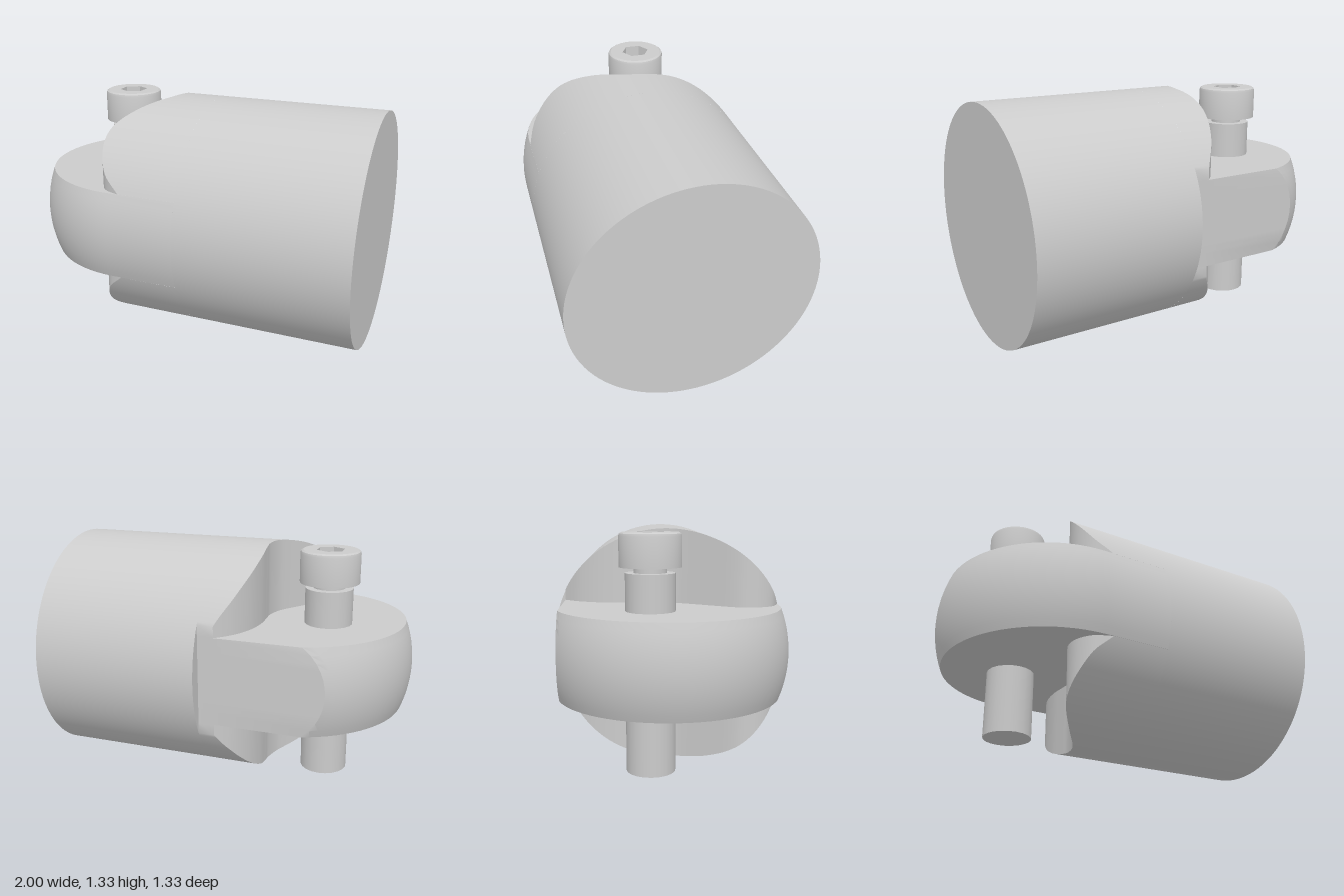
import * as THREE from 'three';
import { toCreasedNormals } from 'three/addons/utils/BufferGeometryUtils.js';

const R = 0.665;            // barrel radius, also the height of its axis
const HALF = 0.245;         // half thickness of the tongue
const FLAT = -0.59;         // z of the flat cut on the back
const STEP = 0.05;          // x where the full barrel begins
const NOSE = -0.335;        // x centre of the rounded nose
const grey = new THREE.MeshStandardMaterial({ color: 0xcccccc });
const greyDouble = new THREE.MeshStandardMaterial({ color: 0xcccccc, side: THREE.DoubleSide });

function add(parent, name, geometry, x = 0, y = 0, z = 0, material = grey) {
  const mesh = new THREE.Mesh(geometry, material);
  mesh.name = name;
  mesh.position.set(x, y, z);
  parent.add(mesh);
  return mesh;
}

// Skin between rows of points, skipping collapsed triangles
function skin(rows) {
  const pos = [];
  const tri = (a, b, c) => {
    const area = b.clone().sub(a).cross(c.clone().sub(a)).length();
    if (area > 1e-9) for (const p of [a, b, c]) pos.push(p.x, p.y, p.z);
  };
  for (let i = 0; i < rows.length - 1; i++) {
    for (let j = 0; j < rows[i].length - 1; j++) {
      const a = rows[i][j], b = rows[i][j + 1], c = rows[i + 1][j + 1], d = rows[i + 1][j];
      tri(a, d, c);
      tri(a, c, b);
    }
  }
  const g = new THREE.BufferGeometry();
  g.setAttribute('position', new THREE.Float32BufferAttribute(pos, 3));
  return toCreasedNormals(g, 0.5);
}

const V = (x, y, z) => new THREE.Vector3(x, y, z);

// Middle tongue: horizontal outlines of a ball-ended bar, cut flat at the back
function tongueGeometry() {
  const rows = [], layers = 12, steps = 36;
  for (let i = 0; i <= layers; i++) {
    const y = -HALF + (2 * HALF * i) / layers;
    const s = Math.sqrt(R * R - y * y);
    const end = Math.PI / 2 + Math.asin(-FLAT / s);
    const row = [V(STEP, y, s)];
    for (let k = 0; k <= steps; k++) {
      const t = (end * k) / steps;
      row.push(V(NOSE - s * Math.sin(t), y, s * Math.cos(t)));
    }
    row.push(V(STEP, y, FLAT), V(STEP, y, s));
    rows.push(row);
  }
  const hub = (y) => rows[0].map(() => V(-0.2, y, 0));
  return skin([hub(-HALF), ...rows, hub(HALF)]);
}

// Cheek above (side 1) or below (side -1) the tongue, with a curved end wall
function cheekGeometry(side) {
  const curve = new THREE.SplineCurve([
    [-0.04, FLAT], [-0.12, -0.5], [-0.175, -0.38], [-0.195, -0.25], [-0.19, -0.13],
    [-0.187, -0.06], [-0.205, 0.03], [-0.24, 0.1], [-0.325, 0.225], [-0.405, 0.345],
    [-0.433, 0.42], [-0.425, 0.5], [-0.375, 0.575], [-0.28, 0.618],
  ].map(([x, z]) => new THREE.Vector2(x, z)));
  const low = side * HALF;
  const rows = curve.getPoints(78).map(({ x, y: z }) => {
    const top = side * Math.max(HALF, Math.sqrt(R * R - z * z));
    return [V(x, low, z), V(x, top, z), V(STEP, top, z)];
  });
  // Collapsed first row closes the back flat
  const x0 = rows[0][0].x;
  rows.unshift([V(x0, low, FLAT), V(x0, low, FLAT), V(STEP, low, FLAT)]);
  if (side < 0) rows.reverse();
  return skin(rows);
}

// Socket-head bolt, standing along y
function createBolt() {
  const bolt = new THREE.Group();
  bolt.name = 'bolt';
  bolt.position.set(-0.54, 0, -0.1);
  add(bolt, 'boltShaft', new THREE.CylinderGeometry(0.133, 0.133, 1.07, 20), 0, 0.575, 0);
  add(bolt, 'boltNeck', new THREE.CylinderGeometry(0.088, 0.088, 0.04, 20), 0, 1.125, 0);

  const profile = [[0, 1.14], [0.165, 1.14], [0.165, 1.3], [0.161, 1.313], [0.15, 1.32]];
  const head = new THREE.LatheGeometry(profile.map(([r, y]) => new THREE.Vector2(r, y)), 32);
  add(bolt, 'boltHead', toCreasedNormals(head, 0.7));

  // Top face with a hexagonal recess
  const ring = (r, n) => Array.from({ length: n }, (_, i) => {
    const t = (i / n) * Math.PI * 2;
    return new THREE.Vector2(r * Math.sin(t), r * Math.cos(t));
  });
  const face = new THREE.Shape(ring(0.15, 32));
  face.holes.push(new THREE.Path(ring(0.08, 6)));
  add(bolt, 'boltHeadFace', new THREE.ShapeGeometry(face).rotateX(-Math.PI / 2), 0, 1.32, 0);
  const socket = toCreasedNormals(new THREE.CylinderGeometry(0.08, 0.08, 0.09, 6, 1, true), 0.3);
  add(bolt, 'socketWall', socket, 0, 1.275, 0, greyDouble);
  const floor = new THREE.ShapeGeometry(new THREE.Shape(ring(0.08, 6))).rotateX(-Math.PI / 2);
  add(bolt, 'socketFloor', floor, 0, 1.23, 0);
  return bolt;
}

export function createModel() {
  const model = new THREE.Group();
  model.name = 'rodEnd';

  // Full round barrel lying along x
  const length = 1 - STEP;
  const barrel = new THREE.CylinderGeometry(R, R, length, 96).rotateZ(Math.PI / 2);
  add(model, 'barrel', barrel, STEP + length / 2, R, 0);

  add(model, 'tongue', tongueGeometry(), 0, R, 0);
  add(model, 'upperCheek', cheekGeometry(1), 0, R, 0);
  add(model, 'lowerCheek', cheekGeometry(-1), 0, R, 0);
  model.add(createBolt());
  return model;
}
